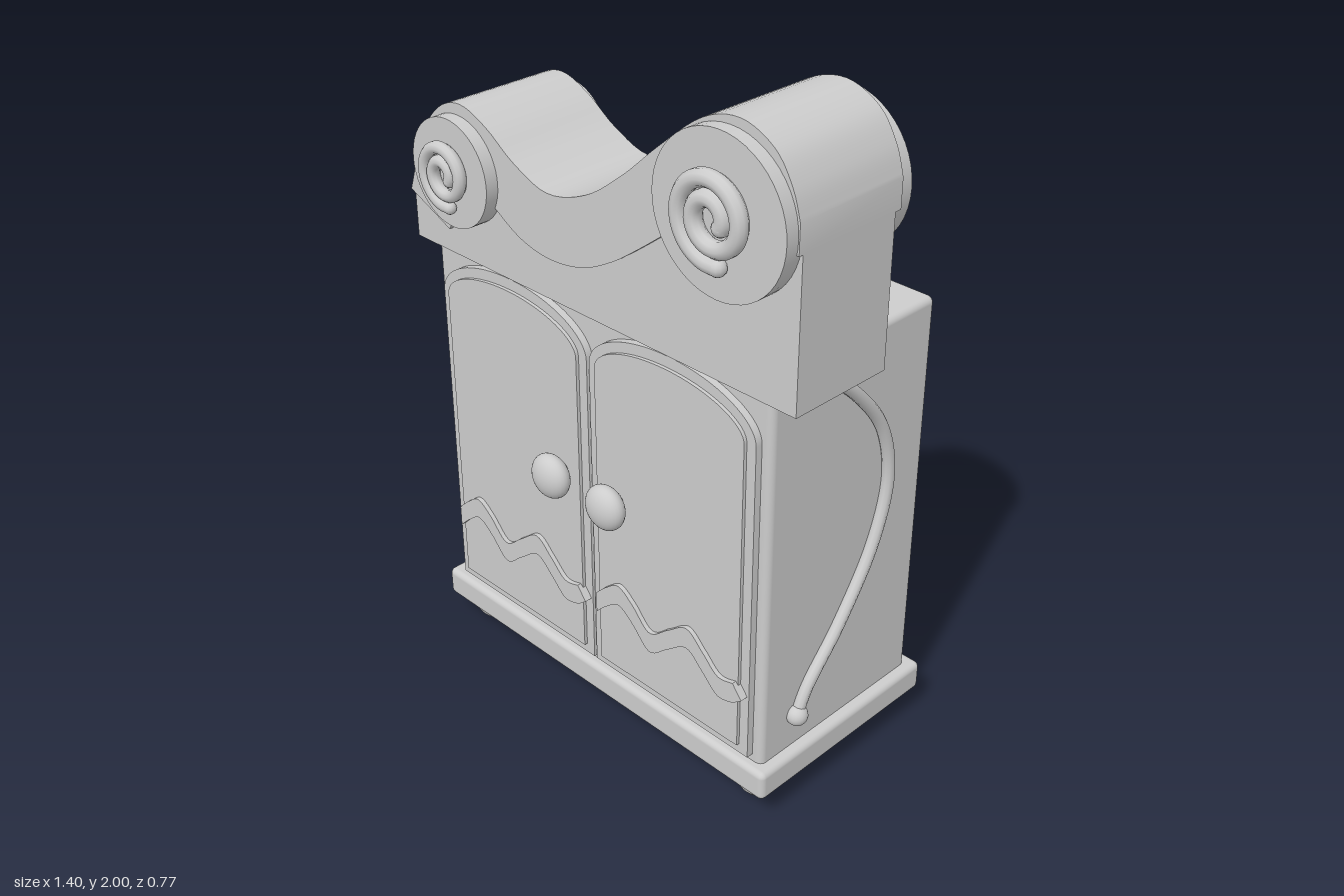
import * as THREE from 'three';
import { toCreasedNormals } from 'three/addons/utils/BufferGeometryUtils.js';
import { RoundedBoxGeometry } from 'three/addons/geometries/RoundedBoxGeometry.js';

export function createModel() {
  const model = new THREE.Group();
  model.name = 'cabinet';
  const grey = new THREE.MeshStandardMaterial({ color: 0xcccccc });
  grey.name = 'light grey';

  const add = (name, geometry, x = 0, y = 0, z = 0) => {
    const mesh = new THREE.Mesh(geometry, grey);
    mesh.name = name;
    mesh.position.set(x, y, z);
    model.add(mesh);
    return mesh;
  };
  // rounded box given by its limits
  const box = (name, [x0, x1], [y0, y1], [z0, z1], r) =>
    add(name, new RoundedBoxGeometry(x1 - x0, y1 - y0, z1 - z0, 3, r), (x0 + x1) / 2, (y0 + y1) / 2, (z0 + z1) / 2);
  // outline extruded between two depths
  const slab = (name, shape, z0, z1) =>
    add(name, toCreasedNormals(new THREE.ExtrudeGeometry(shape, { depth: z1 - z0, bevelEnabled: false, curveSegments: 16 }), 0.5), 0, 0, z0);
  const v2 = (p) => new THREE.Vector2(p[0], p[1]);
  const smooth = (points, n = 48) => new THREE.SplineCurve(points.map(v2)).getPoints(n);

  // carcass, plinth and feet
  box('body', [-0.655, 0.603], [0.15, 1.365], [-0.352, 0.262], 0.02);
  box('plinth', [-0.686, 0.636], [0.085, 0.177], [-0.386, 0.292], 0.018);
  for (const x of [-0.585, 0.535])
    for (const z of [-0.28, 0.19]) add('foot', new THREE.SphereGeometry(0.066, 24, 16), x, 0.066, z);

  // doors with arched tops
  const arch = (x0, x1, y0, spring, rise) => {
    const s = new THREE.Shape();
    s.moveTo(x0, y0);
    s.lineTo(x1, y0);
    s.lineTo(x1, spring);
    s.absellipse((x0 + x1) / 2, spring, (x1 - x0) / 2, rise, 0, Math.PI, false, 0);
    s.closePath();
    return s;
  };
  for (const x of [-0.614, -0.016]) {
    slab('doorFrame', arch(x, x + 0.588, 0.2, 1.175, 0.132), 0.25, 0.283);
    slab('doorPanel', arch(x + 0.03, x + 0.558, 0.23, 1.175, 0.1), 0.27, 0.293);
    // wavy ribbon with a pointed end
    const top = smooth([[x + 0.03, 0.462], [x + 0.07, 0.5], [x + 0.12, 0.53], [x + 0.175, 0.495], [x + 0.24, 0.437],
      [x + 0.31, 0.485], [x + 0.38, 0.53], [x + 0.44, 0.485], [x + 0.495, 0.437], [x + 0.55, 0.445]]);
    const bottom = top.map((p) => new THREE.Vector2(p.x, p.y - 0.065)).reverse();
    slab('doorWave', new THREE.Shape([...top, new THREE.Vector2(x + 0.582, 0.405), ...bottom]), 0.28, 0.306);
  }
  for (const x of [-0.135, 0.082])
    add('doorKnob', new THREE.SphereGeometry(0.066, 28, 20), x, 0.79, 0.327).scale.z = 0.62;

  // pediment: swept upper band over a slightly thinner lower board
  const crest = smooth([[-0.7, 1.46], [-0.63, 1.64], [-0.55, 1.737], [-0.46, 1.767], [-0.36, 1.732], [-0.255, 1.665],
    [-0.13, 1.622], [0.01, 1.66], [0.14, 1.75], [0.27, 1.865], [0.405, 1.97], [0.52, 2], [0.62, 1.96], [0.675, 1.885], [0.7, 1.81]], 70);
  const divide = [v2([-0.7, 1.46]), v2([-0.54, 1.39]), v2([-0.51, 1.44]),
    ...smooth([[-0.42, 1.57], [-0.34, 1.515], [-0.24, 1.46], [-0.13, 1.44], [-0.01, 1.457], [0.1, 1.51], [0.2, 1.58], [0.31, 1.665]], 32),
    v2([0.5, 1.75]), v2([0.7, 1.73])];
  slab('pedimentBand', new THREE.Shape([...crest, ...divide.slice(1).reverse()]), -0.047, 0.306);
  slab('pedimentBoard', new THREE.Shape([v2([-0.7, 1.315]), v2([0.7, 1.315]), ...divide.slice().reverse()]), -0.027, 0.293);

  // scroll roundels with raised spirals on both faces
  for (const [x, y, radius, size] of [[0.49, 1.77, 0.207, 1], [-0.475, 1.583, 0.152, 0.78]]) {
    const disc = new THREE.CylinderGeometry(radius, radius, 0.43, 48);
    disc.rotateX(Math.PI / 2);
    add('scrollDisc', disc, x, y, 0.129);
    const path = [];
    for (let i = 0; i <= 36; i++) {
      const t = i / 36, a = -1.4 - t * 3.7 * Math.PI, r = size * (0.115 - 0.085 * Math.pow(t, 1.1));
      path.push(new THREE.Vector3(r * Math.cos(a), r * Math.sin(a), 0));
    }
    const tube = new THREE.TubeGeometry(new THREE.CatmullRomCurve3(path), 90, 0.023 * size, 10);
    for (const z of [0.36, -0.102]) {
      add('scrollSpiral', tube, x, y, z);
      for (const end of [path[0], path[36]])
        add('spiralEnd', new THREE.SphereGeometry(0.023 * size, 12, 8), x + end.x, y + end.y, z);
    }
  }

  // curved side ornaments ending in a bead
  for (const x of [-0.666, 0.614]) {
    const bow = [[0.13, 1.335], [0.08, 1.305], [-0.045, 1.2], [-0.15, 1.065], [-0.19, 0.9], [-0.145, 0.71], [-0.02, 0.505], [0.1, 0.36], [0.135, 0.29]];
    const curve = new THREE.CatmullRomCurve3(bow.map(([z, y]) => new THREE.Vector3(x, y, z)));
    add('sideBow', new THREE.TubeGeometry(curve, 60, 0.018, 10));
    add('sideBead', new THREE.SphereGeometry(0.031, 20, 14), x, 0.285, 0.135);
  }
  return model;
}
